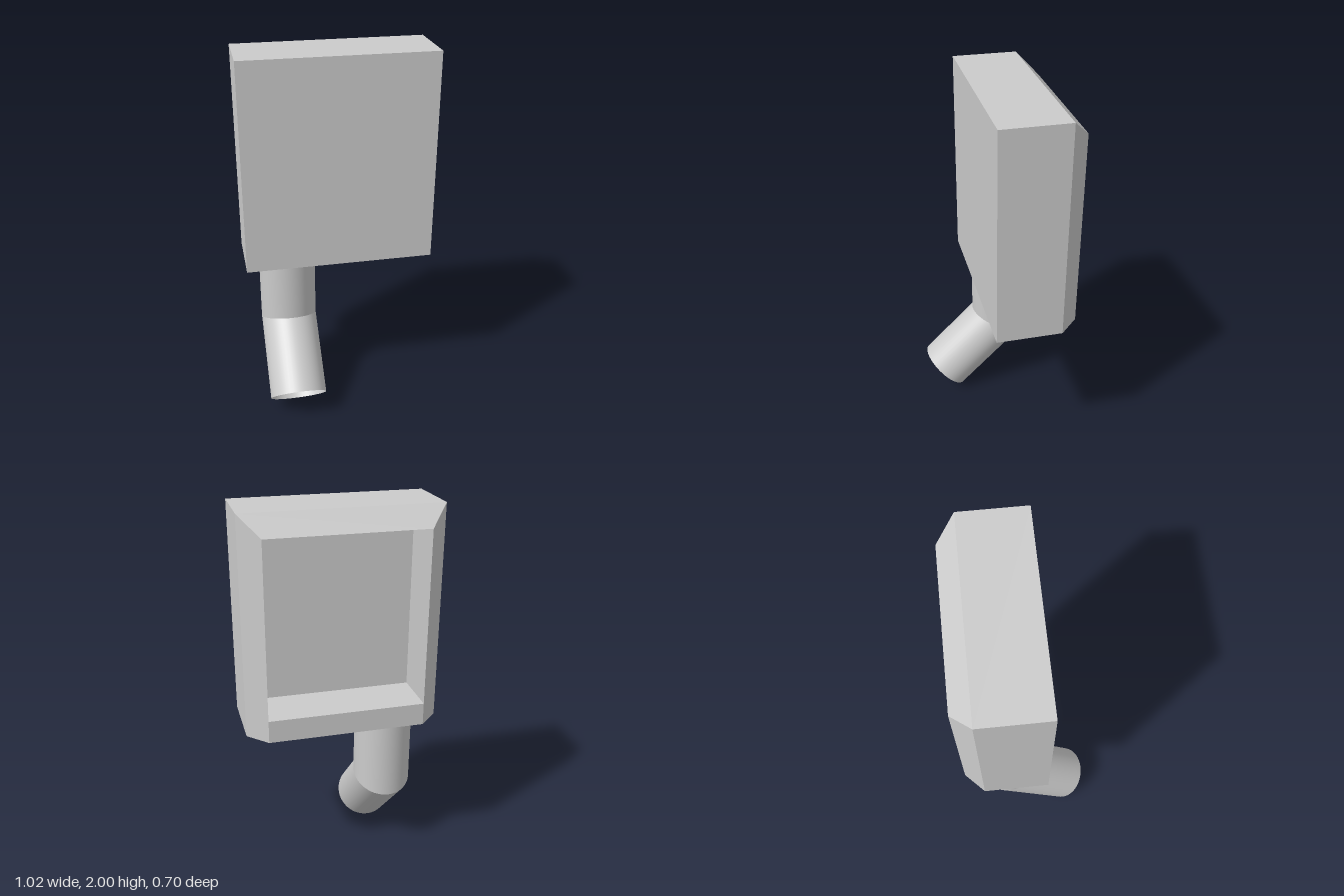
import * as THREE from 'three';

const material = new THREE.MeshStandardMaterial({ color: 0xcccccc, side: THREE.DoubleSide });
const flatMaterial = new THREE.MeshStandardMaterial({ color: 0xcccccc, flatShading: true });

// Rectangular cross-section, counter-clockwise seen from +z
function ring(halfWidth, bottom, top, z) {
  return [[-halfWidth, bottom], [halfWidth, bottom], [halfWidth, top], [-halfWidth, top]]
    .map(([x, y]) => new THREE.Vector3(x, y, z));
}

// Joins rectangular rings into a closed skin, capped at both ends
function loft(rings) {
  const points = [];
  const triangle = (a, b, c) => {
    if (new THREE.Triangle(a, b, c).getArea() > 1e-6) points.push(a, b, c);
  };
  const quad = (a, b, c, d) => { triangle(a, b, c); triangle(a, c, d); };
  quad(...rings[0]);
  for (let r = 0; r < rings.length - 1; r++) {
    const a = rings[r], b = rings[r + 1];
    for (let i = 0; i < 4; i++) {
      const j = (i + 1) % 4;
      quad(a[i], b[i], b[j], a[j]);
    }
  }
  quad(...[...rings[rings.length - 1]].reverse());
  const geometry = new THREE.BufferGeometry().setFromPoints(points);
  geometry.computeVertexNormals();
  return geometry;
}

// Open tube from y = 0 to y = end, cut on a slant at y = 0
function miteredTube(radius, end, slope) {
  const geometry = new THREE.CylinderGeometry(radius, radius, 1, 48, 1, true);
  const p = geometry.attributes.position;
  for (let i = 0; i < p.count; i++) {
    const atEnd = (p.getY(i) > 0) === (end > 0);
    p.setY(i, atEnd ? end : slope * p.getZ(i));
  }
  return geometry;
}

export function createModel() {
  const model = new THREE.Group();

  // Box bevelled on three back edges, with a deep recess open to the back
  const housing = new THREE.Mesh(loft([
    ring(0.51, 0.86, 2.0, 0.095),
    ring(0.51, 0.86, 2.0, -0.25),
    ring(0.41, 0.86, 1.9, -0.35),
    ring(0.41, 0.98, 1.9, -0.35),
    ring(0.41, 0.98, 1.9, -0.08),
  ]), flatMaterial);
  housing.name = 'housing';
  model.add(housing);

  // Hollow pipe with a mitred bend, its open mouth pointing forward and down
  const bend = Math.PI / 4, slope = Math.tan(bend / 2), radius = 0.157;
  const pipe = new THREE.Group();
  pipe.name = 'pipe';
  pipe.position.set(-0.27, 0.45, -0.1);
  const upperPipe = new THREE.Mesh(miteredTube(radius, 0.41, slope), material);
  upperPipe.name = 'upperPipe';
  const lowerPipe = new THREE.Mesh(miteredTube(radius, -0.478, -slope), material);
  lowerPipe.name = 'lowerPipe';
  lowerPipe.rotation.x = -bend;
  pipe.add(upperPipe, lowerPipe);
  model.add(pipe);

  return model;
}
